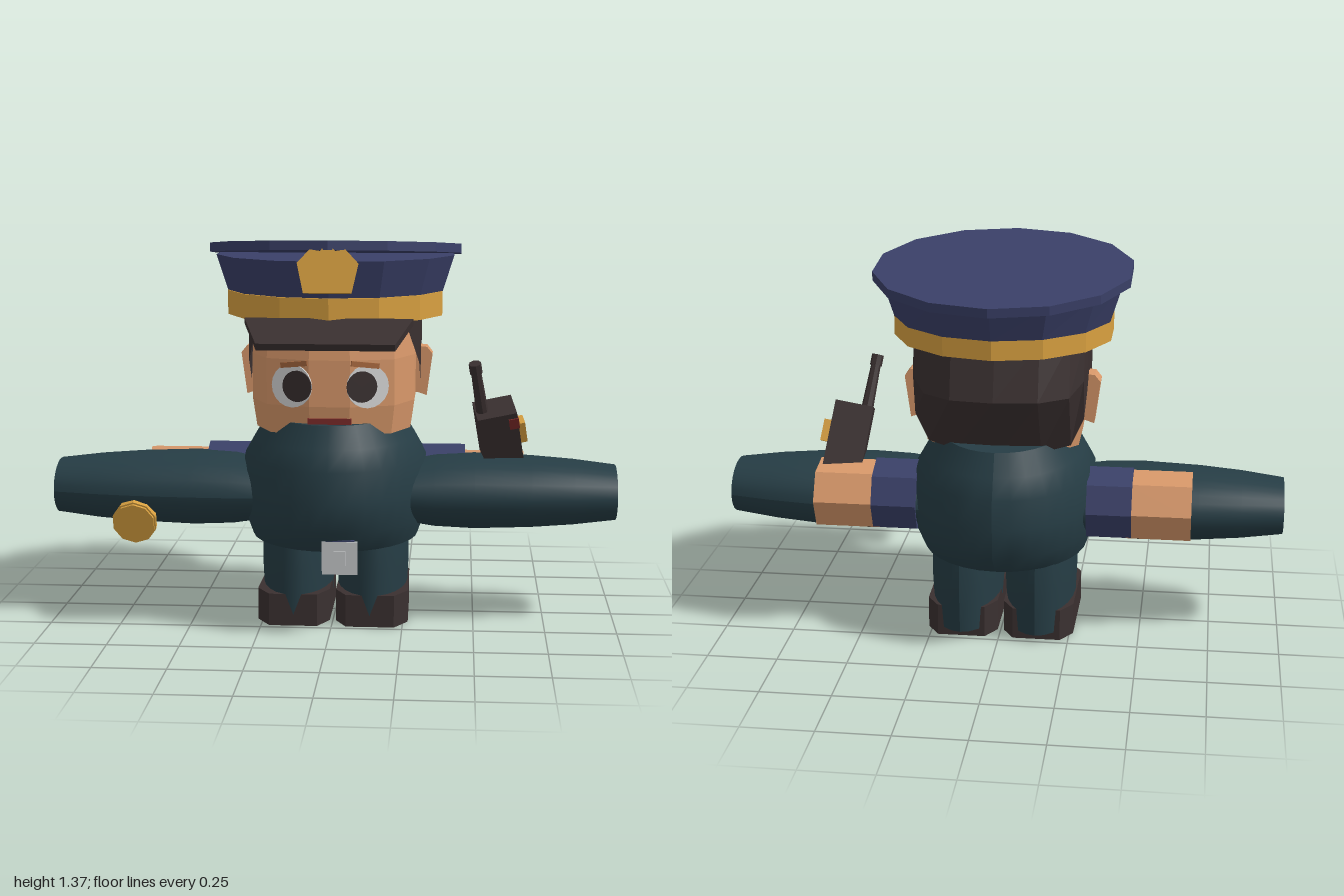
import * as THREE from 'three';

const mat = (name, color, side = THREE.FrontSide) => {
  const m = new THREE.MeshStandardMaterial({ color, side });
  m.name = name;
  return m;
};

export function createModel() {
  const teal = mat('uniform teal', 0x263d45, THREE.DoubleSide);
  const navy = mat('cap navy', 0x3a4068);
  const gold = mat('gold', 0xd8a040);
  const dark = mat('dark brown', 0x3a3030, THREE.DoubleSide);
  const skin = mat('skin', 0xd8986a);
  const brown = mat('brow brown', 0xa8683f);
  const white = mat('eye white', 0xd8d8d8);
  const silver = mat('silver', 0xc4c6c8);
  const red = mat('red', 0x7a2a28);

  const model = new THREE.Group();
  const add = (name, geo, material, pos = [0, 0, 0], rot = [0, 0, 0], parent = model) => {
    const mesh = new THREE.Mesh(geo, material);
    mesh.name = name;
    mesh.position.set(...pos);
    mesh.rotation.set(...rot);
    parent.add(mesh);
    return mesh;
  };
  const flat = (g) => {
    const f = g.index ? g.toNonIndexed() : g;
    f.computeVertexNormals();
    return f;
  };
  const box = (x, y, z) => new THREE.BoxGeometry(x, y, z);
  const cyl = (rt, rb, h, n) => flat(new THREE.CylinderGeometry(rt, rb, h, n));
  const plate = (pts, depth) => new THREE.ExtrudeGeometry(
    new THREE.Shape(pts.map((p) => new THREE.Vector2(...p))), { depth, bevelEnabled: false });

  // Stacked ellipses, listed from the top: [y, x radius, z radius, z centre]
  const loft = (rings, n, open = false) => {
    const g = new THREE.CylinderGeometry(1, 1, 1, n, rings.length - 1, open, Math.PI);
    const p = g.attributes.position;
    for (let i = 0; i < p.count; i++) {
      const [y, rx, rz, cz = 0] = rings[Math.round((0.5 - p.getY(i)) * (rings.length - 1))];
      p.setXYZ(i, p.getX(i) * rx, y, p.getZ(i) * rz + cz);
    }
    g.computeVertexNormals();
    return g;
  };

  // Horizontal half outlines scaled at several heights: the head
  const headHalf = [[0.07, 0.315], [0.22, 0.26], [0.285, 0.12], [0.285, -0.1], [0.2, -0.2], [0.08, -0.235]];
  const outline = [...headHalf, ...headHalf.map(([x, z]) => [-x, z]).reverse()];
  const headRings = [[1.1, 0.95], [0.96, 1], [0.8, 1], [0.7, 0.95]];
  const headGeo = new THREE.CylinderGeometry(1, 1, 1, outline.length, headRings.length - 1);
  const hp = headGeo.attributes.position;
  for (let i = 0; i < hp.count; i++) {
    const [y, s] = headRings[Math.round((0.5 - hp.getY(i)) * (headRings.length - 1))];
    const r = Math.hypot(hp.getX(i), hp.getZ(i));
    const k = Math.round(Math.atan2(hp.getX(i), hp.getZ(i)) / (2 * Math.PI) * outline.length);
    const [x, z] = r > 0.5 ? outline[(k + outline.length) % outline.length] : [0, 0];
    hp.setXYZ(i, x * s, y, z * s);
  }
  add('head', flat(headGeo), skin);

  // Hair shell with a jagged lower edge: [x, z, lower y]
  const hairHalf = [[0.07, 0.325, 1.08], [0.225, 0.272, 1.07], [0.265, 0.2, 1.05], [0.3, 0.1, 0.93],
    [0.303, 0, 0.85], [0.303, -0.09, 0.98], [0.303, -0.18, 0.92], [0.295, -0.24, 0.83],
    [0.25, -0.29, 0.73], [0.15, -0.36, 0.71], [0, -0.378, 0.7]];
  const hair = [...hairHalf, ...hairHalf.slice(0, -1).map(([x, z, y]) => [-x, z, y]).reverse()];
  const hv = [], hi = [];
  hair.forEach(([x, z, yb], c) => {
    for (const y of [1.12, Math.max(0.93, (yb + 1.12) / 2), yb]) {
      const s = z > 0 ? 1 : y > 0.93 ? 1 - (y - 0.93) * 0.72 : 1 - (0.93 - y) * 1.7;
      hv.push(x, y, z * s);
    }
    if (c) for (const r of [0, 1]) {
      const a = c * 3 + r, b = a - 3;
      hi.push(b, b + 1, a, b + 1, a + 1, a);
    }
  });
  const hairGeo = new THREE.BufferGeometry();
  hairGeo.setAttribute('position', new THREE.Float32BufferAttribute(hv, 3));
  hairGeo.setIndex(hi.map((v, i) => (i % 3 === 0 ? v : hi[i % 3 === 1 ? i + 1 : i - 1])));
  add('hair', flat(hairGeo), dark);

  // Face details, ears
  for (const s of [1, -1]) {
    const eye = new THREE.Group();
    eye.name = s > 0 ? 'leftEye' : 'rightEye';
    eye.position.set(s * 0.13, 0.87, 0.296);
    eye.rotation.y = s * 0.351;
    model.add(eye);
    const disc = (r) => new THREE.CylinderGeometry(r, r, 0.006, 20).rotateX(Math.PI / 2);
    add('eyeWhite', disc(0.075), white, [0, 0, 0], [0, 0, 0], eye);
    add('pupil', disc(0.054), dark, [-s * 0.022, 0, 0.005], [0, 0, 0], eye);
    add('eyebrow', box(0.1, 0.018, 0.008), brown, [-s * 0.01, 0.075, 0.003], [0, 0, s * -0.12], eye);
    const ear = plate([[0.02, 0.8], [0.05, 0.79], [0.07, 0.94], [0.05, 0.965], [0, 0.97], [-0.01, 0.8]], 0.075);
    if (s < 0) ear.rotateY(Math.PI).translate(0, 0, 0.075);
    add(s > 0 ? 'leftEar' : 'rightEar', ear, skin, [s * 0.275, 0, -0.118]);
  }
  add('mouth', box(0.15, 0.03, 0.02), red, [0, 0.745, 0.308]);

  // Cap: band, flared crown cut to the tilted top, visor, badge
  add('capBand', cyl(0.388, 0.388, 0.085, 14), gold, [0, 1.132, -0.03]);
  const crown = new THREE.CylinderGeometry(0.43, 0.385, 0.14, 14);
  const cp = crown.attributes.position;
  for (let i = 0; i < cp.count; i++) {
    if (cp.getY(i) > 0) cp.setY(i, Math.min(0.07, 0.084 + cp.getZ(i) * 0.09));
  }
  add('capCrown', flat(crown), navy, [0, 1.23, -0.045]);
  add('capTop', cyl(0.455, 0.455, 0.032, 14), navy, [0, 1.315, -0.06], [-0.09, 0, 0]);
  const visor = plate([[-0.285, 0], [0.285, 0], [0.23, 0.175], [-0.23, 0.175]], 0.025).rotateX(Math.PI / 2);
  add('visor', visor, dark, [0, 1.108, 0.343], [0.4, 0, 0]);
  add('capBadge', plate([[-0.08, 0], [0.08, 0], [0.102, 0.1], [0.06, 0.145], [0.025, 0.14], [0, 0.17],
    [-0.025, 0.14], [-0.06, 0.145], [-0.102, 0.1]], 0.025), gold, [0, 1.195, 0.395], [-0.2, 0, 0]);

  // Body and buckle
  add('torso', loft([[0.74, 0.235, 0.34], [0.66, 0.285, 0.38], [0.59, 0.325, 0.412], [0.48, 0.33, 0.414],
    [0.38, 0.325, 0.412], [0.297, 0.297, 0.33]].map((r) => [...r, 0.005]), 32), teal);
  add('pelvis', box(0.16, 0.06, 0.3), navy, [0, 0.285, 0]);
  add('buckle', box(0.122, 0.115, 0.016), silver, [0.04, 0.288, 0.377]);
  add('buckleCentre', box(0.04, 0.05, 0.008), silver, [0.04, 0.288, 0.388]);
  add('beltTab', box(0.1, 0.03, 0.03), navy, [0.04, 0.335, 0.368]);

  for (const s of [1, -1]) {
    const side = s > 0 ? 'left' : 'right';
    // Open sleeve along x, with cuff and hand inside pushing out at the back
    const sleeve = loft([[1, 0.0975, 0.132], [0.85, 0.115, 0.165], [0.7, 0.126, 0.187], [0.5, 0.133, 0.2],
      [0.36, 0.126, 0.203], [0.26, 0.11, 0.2]], 28, true).rotateZ(-Math.PI / 2);
    if (s < 0) sleeve.rotateY(Math.PI);
    add(side + 'Sleeve', sleeve, teal, [0, 0.458, 0.027]);
    add(side + 'Cuff', cyl(0.135, 0.135, 0.16, 8), navy, [s * 0.385, 0.475, -0.06], [0, 0, Math.PI / 2]);
    add(side + 'Hand', cyl(0.127, 0.127, 0.23, 7), skin, [s * 0.56, 0.47, -0.065], [0.5, 0, s * -Math.PI / 2]);
    // Leg and angular shoe
    add(side + 'Leg', loft([[0.32, 0.128, 0.255], [0.2, 0.13, 0.262], [0.03, 0.122, 0.245]], 24), teal,
      [s * 0.135, 0, -0.018]);
    const shoe = plate([[-0.085, -0.225], [0.085, -0.225], [0.128, -0.16], [0.132, 0.15], [0.085, 0.228],
      [-0.085, 0.228], [-0.125, 0.15], [-0.125, -0.16]].map(([x, z]) => [x * s, z]), 0.115);
    add(side + 'Shoe', shoe.rotateX(Math.PI / 2), dark, [s * 0.136, 0.115, 0]);
  }

  // Radio in the left hand
  const radio = new THREE.Group();
  radio.name = 'radio';
  radio.position.set(0.59, 0.62, 0.015);
  radio.rotation.set(0.37, 0.15, 0.15);
  model.add(radio);
  add('radioBody', box(0.14, 0.32, 0.13), dark, [0, 0, 0], [0, 0, 0], radio);
  add('antenna', cyl(0.017, 0.022, 0.2, 8), dark, [-0.045, 0.25, 0.005], [0, 0, 0], radio);
  add('antennaTip', cyl(0.022, 0.022, 0.04, 8), dark, [-0.045, 0.335, 0.005], [0, 0, 0], radio);
  add('radioKnob', box(0.03, 0.08, 0.055), gold, [0.083, 0.045, -0.01], [0, 0, 0], radio);
  add('radioButton', box(0.035, 0.04, 0.03), red, [0.055, 0.12, 0.055], [0, 0, 0], radio);

  // Torch in the right hand
  const torch = new THREE.Group();
  torch.name = 'torch';
  torch.position.set(-0.7, 0.365, 0.2);
  torch.rotation.x = Math.PI / 2 + 0.25;
  model.add(torch);
  add('torchLens', cyl(0.074, 0.074, 0.012, 10), gold, [0, 0.018, 0], [0, 0, 0], torch);
  add('torchRim', cyl(0.08, 0.078, 0.03, 10), gold, [0, 0, 0], [0, 0, 0], torch);
  add('torchHead', cyl(0.078, 0.04, 0.09, 10), dark, [0, -0.06, 0], [0, 0, 0], torch);
  add('torchHandle', cyl(0.035, 0.035, 0.1, 10), dark, [0, -0.14, 0], [0, 0, 0], torch);

  return model;
}
